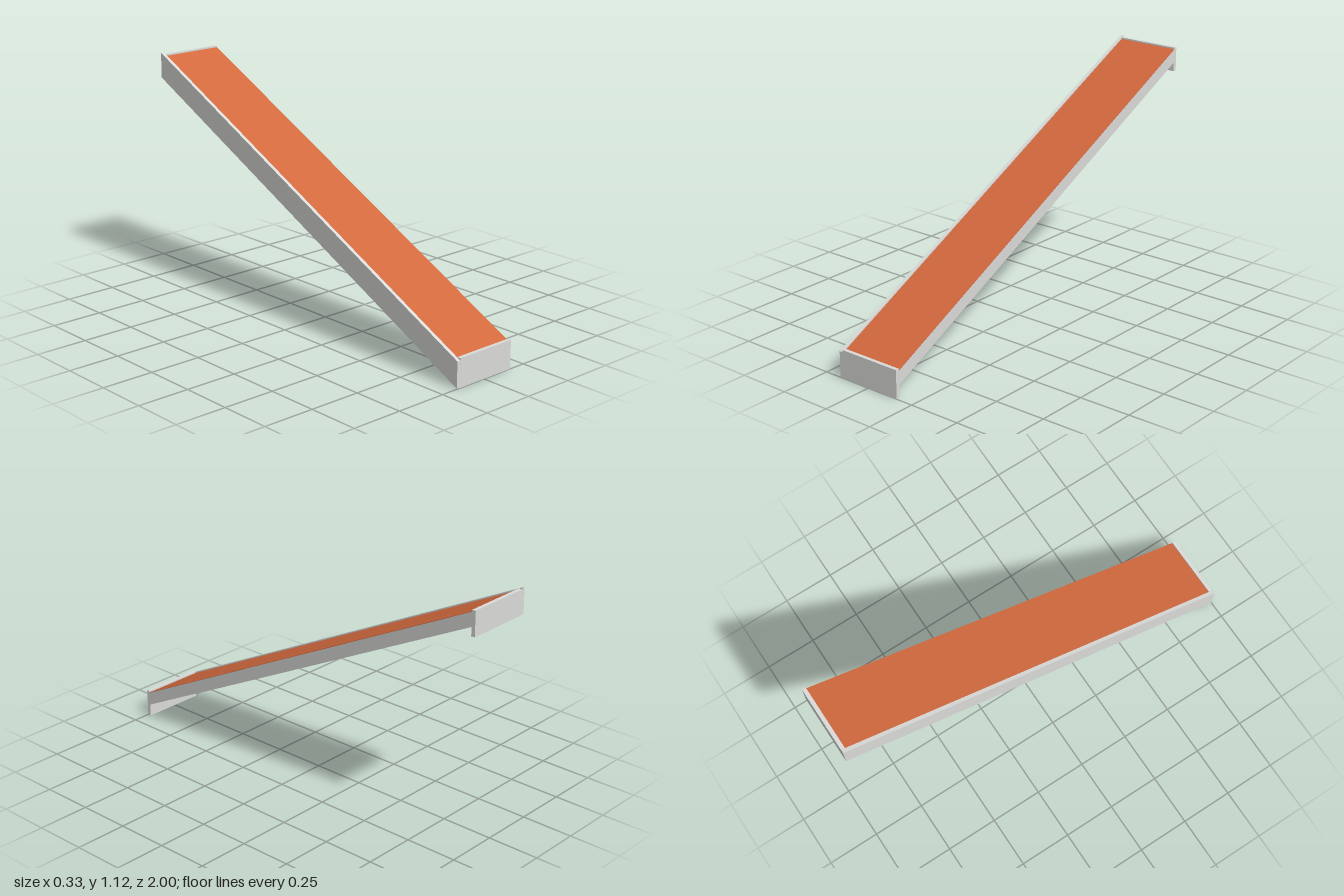
import * as THREE from 'three';

const grey = new THREE.MeshStandardMaterial({ color: 0xdadad8 });
grey.name = 'light grey';
const orange = new THREE.MeshStandardMaterial({ color: 0xd2693d });
orange.name = 'burnt orange';

const SLOPE = 0.498;
const INNER_X = -0.148, OUTER_X = 0.165, END_Z = 0.982;

// Height of a sloping line that passes through midY at z = 0
const lineY = (midY, z) => midY - SLOPE * z;

// Side profile of [z, y] points, extruded across x
function profilePart(name, points, x0, x1, material) {
  const shape = new THREE.Shape(points.map(([z, y]) => new THREE.Vector2(-z, y)));
  const geometry = new THREE.ExtrudeGeometry(shape, { depth: x1 - x0, bevelEnabled: false });
  geometry.rotateY(Math.PI / 2).translate(x0, 0, 0);
  const mesh = new THREE.Mesh(geometry, material);
  mesh.name = name;
  return mesh;
}

// Sloping bar with upright ends at z = +-endZ
function slopedBar(name, bottom, top, endZ, x0, x1, material) {
  return profilePart(name, [
    [endZ, lineY(bottom, endZ)], [-endZ, lineY(bottom, -endZ)],
    [-endZ, lineY(top, -endZ)], [endZ, lineY(top, endZ)],
  ], x0, x1, material);
}

// Upright plate closing one end of the ramp
function endPlate(name, z0, z1, bottom, top) {
  return profilePart(name, [[z1, bottom], [z0, bottom], [z0, top], [z1, top]],
    INNER_X, OUTER_X, grey);
}

export function createModel() {
  const ramp = new THREE.Group();
  ramp.name = 'ramp';
  ramp.add(
    // Tall wall along one side, slightly above the deck and well below it
    slopedBar('sideWall', 0.5, 0.622, 1, -0.165, INNER_X, grey),
    // Deck and its coloured top surface
    slopedBar('deck', 0.549, 0.614, END_Z, INNER_X, OUTER_X, grey),
    slopedBar('deckSurface', 0.614, 0.616, END_Z, INNER_X, OUTER_X, orange),
    // End plates
    endPlate('frontPlate', END_Z, 1, 0, 0.134),
    endPlate('backPlate', -1, -END_Z, 0.996, 1.112),
  );
  return ramp;
}
